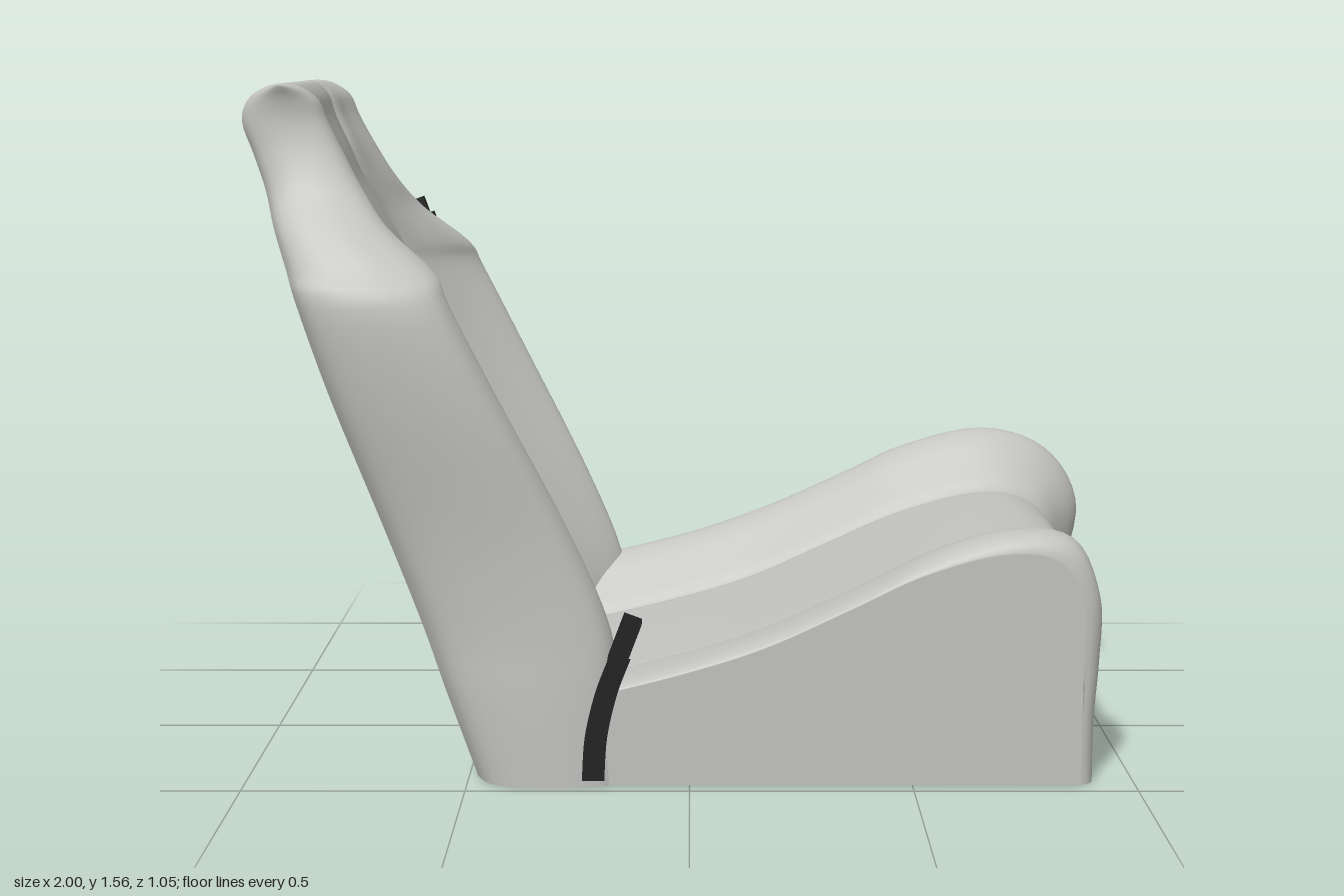
import * as THREE from 'three';

const upholstery = new THREE.MeshStandardMaterial({ color: 0xc2c2c0, side: THREE.DoubleSide });
upholstery.name = 'grey upholstery';
const black = new THREE.MeshStandardMaterial({ color: 0x222222, side: THREE.DoubleSide });
black.name = 'black webbing and plastic';
const silver = new THREE.MeshStandardMaterial({ color: 0xc0c0bc });
silver.name = 'pale metal';

const lerp = THREE.MathUtils.lerp;

// Catmull-Rom interpolation of whole rows of numbers
function smooth(rows, n) {
  const out = [], last = rows.length - 1;
  const at = i => rows[Math.max(0, Math.min(last, i))];
  for (let i = 0; i < last; i++) {
    for (let k = 0; k < n; k++) {
      const t = k / n;
      out.push(rows[i].map((b, j) => {
        const a = at(i - 1)[j], c = at(i + 1)[j], d = at(i + 2)[j];
        return 0.5 * (2 * b + (c - a) * t + (2 * a - 5 * b + 4 * c - d) * t * t
          + (3 * b - a - 3 * c + d) * t * t * t);
      }));
    }
  }
  out.push(rows[last]);
  return out;
}

// Surface through rows of [x, y, z] points
function skin(name, rows, material, flip = false) {
  const w = rows[0].length, index = [];
  for (let i = 0; i < rows.length - 1; i++) {
    for (let j = 0; j < w - 1; j++) {
      const a = i * w + j, b = a + 1, c = a + w, d = c + 1;
      if (flip) index.push(a, c, b, b, c, d);
      else index.push(a, b, c, b, d, c);
    }
  }
  const g = new THREE.BufferGeometry();
  g.setAttribute('position', new THREE.Float32BufferAttribute(rows.flat(2), 3));
  g.setIndex(index);
  g.computeVertexNormals();
  const mesh = new THREE.Mesh(g, material);
  mesh.name = name;
  return mesh;
}

function box(name, size, pos, tilt, material) {
  const mesh = new THREE.Mesh(new THREE.BoxGeometry(...size), material);
  mesh.position.set(...pos);
  mesh.rotation.z = tilt;
  mesh.name = name;
  return mesh;
}

// Flat webbing: path of [x, y, z], widened along x
function strap(name, path, width) {
  return skin(name, smooth(path, 6).map(([x, y, z]) =>
    [[x - width / 2, y, z], [x + width / 2, y, z]]), black);
}

// Cushion profiles, from the rear over the top and down the front
const MIDDLE = [[-.3, .19], [-.05, .25], [.15, .31], [.35, .4], [.52, .475], [.7, .525],
  [.82, .52], [.885, .46], [.9, .3], [.9, .15], [.9, 0]];
const LOW = [[-.2, .22], [0, .275], [.2, .345], [.4, .44], [.55, .52], [.72, .57],
  [.86, .55], [.92, .42], [.92, .28], [.91, .14], [.91, 0]];
const HIGH = [[-.2, .34], [0, .39], [.2, .46], [.4, .55], [.55, .62], [.75, .665],
  [.91, .615], [.995, .48], [.965, .3], [.92, .14], [.91, 0]];

// Stations are [z, blend from middle to crest, scale]
function cushionPart(name, crest, stations, wall) {
  const inner = smooth(MIDDLE, 5), outer = smooth(crest, 5);
  const rows = smooth(stations, 3).map(([z, t, s]) => inner.map(([x, y], i) =>
    [lerp(x, outer[i][0], t) * s, lerp(y, outer[i][1], t) * s, z]));
  if (wall) {
    const edge = rows[rows.length - 1];
    rows.push(edge.map(([x, , z]) => [Math.min(x, .91), 0, z]));
  }
  return skin(name, rows, upholstery, stations[0][0] > stations[1][0]);
}

// Backrest levels: y, back x, panel x, wing x, seam z and outer z (+z side), the same (-z side)
const LEVELS = [
  [0, -.48, -.26, -.155, .28, .482, .26, .475],
  [.2, -.55, -.28, -.165, .28, .478, .26, .475],
  [.35, -.6, -.34, -.18, .28, .472, .26, .475],
  [.57, -.68, -.44, -.27, .29, .48, .265, .48],
  [.87, -.79, -.58, -.42, .31, .515, .28, .495],
  [1.08, -.86, -.67, -.525, .305, .522, .275, .492],
  [1.15, -.885, -.7, -.56, .28, .48, .26, .455],
  [1.24, -.92, -.745, -.665, .24, .41, .225, .39],
  [1.32, -.945, -.785, -.725, .2, .345, .18, .33],
  [1.4, -.975, -.815, -.77, .182, .312, .152, .3],
  [1.47, -1, -.845, -.805, .178, .3, .143, .28],
  [1.52, -.985, -.86, -.825, .183, .305, .135, .267],
  [1.55, -.94, -.885, -.865, .19, .318, .13, .24],
  [1.556, -.905, -.905, -.905, .19, .316, .13, .225],
];

// Depth of the stitched seam, fading out where the top closes
const seam = (xb, xw) => Math.min(.015, .08 * (xw - xb));

// Wing outline at one level: seam, crest, flank, rounded rear corner
function wingSection([y, xb, xc, xw, ...z], side) {
  const [zs, zo] = side > 0 ? z : z.slice(2);
  const w = zo - zs, d = xw - xb, s = seam(xb, xw);
  const pts = smooth([
    [xc - s, zs], [xc + s / 2, zs + .06 * w], [lerp(xc, xw, .5), zs + .35 * w],
    [xw - .02 * d, zs + .58 * w], [xw, zs + .7 * w], [xw - .08 * d, zs + .88 * w],
    [xw - .3 * d, zo - .02 * w], [xw - .5 * d, zo], [xb + .27 * d, zo - .04 * w],
    [xb + .09 * d, zo - .18 * w], [xb, zo - .45 * w]], 3);
  return pts.map(([x, zz]) => [x, y, side * zz]);
}

function backrest() {
  const g = new THREE.Group();
  g.name = 'backrest';
  const levels = smooth(LEVELS, 4);
  for (const side of [1, -1]) {
    g.add(skin(side > 0 ? 'backrestWingNear' : 'backrestWingFar',
      levels.map(l => wingSection(l, side)), upholstery, side > 0));
  }
  // Centre panel with a sunken seam on both sides, ending below the cushion top
  const panel = levels.filter(l => l[0] > .08);
  g.add(skin('backrestPanel', panel.map(([y, xb, xc, xw, zp, , zn]) => {
    const s = seam(xb, xw);
    return [[xc - s, y, -zn], [xc, y, -zn + .012], [xc, y, -zn / 2], [xc, y, 0],
      [xc, y, zp / 2], [xc, y, zp - .012], [xc - s, y, zp]];
  }), upholstery, true));
  // Rear shell
  g.add(skin('backrestShell', levels.map(l => {
    const a = wingSection(l, -1).pop(), b = wingSection(l, 1).pop();
    return [0, .25, .5, .75, 1].map(t => a.map((v, i) => lerp(v, b[i], t)));
  }), upholstery));
  return g;
}

function cushion() {
  const g = new THREE.Group();
  g.name = 'cushion';
  g.add(
    cushionPart('cushionCentre', MIDDLE, [[-.27, 0, .98], [-.255, 0, 1], [-.1, 0, 1.005],
      [.1, 0, 1.005], [.275, 0, 1], [.29, 0, .98]], false),
    cushionPart('lowBolster', LOW, [[.29, 0, .98], [.3, .3, 1], [.33, .75, 1], [.37, .98, 1],
      [.4, 1, 1], [.43, .85, .998], [.45, .6, .985], [.457, .4, .967]], true),
    cushionPart('highBolster', HIGH, [[-.27, 0, .98], [-.283, .13, 1], [-.33, .5, 1], [-.37, .82, 1],
      [-.405, 1, 1], [-.44, .97, 1], [-.465, .77, 1], [-.475, .45, 1]], true));
  return g;
}

function seatBelt() {
  const g = new THREE.Group();
  g.name = 'seatBelt';
  // Shoulder strap on the outer flank
  g.add(strap('shoulderStrap', [[-.68, 1.13, -.485], [-.675, 1.08, -.508], [-.645, 1, -.517],
    [-.565, .75, -.51], [-.485, .5, -.495], [-.41, .2, -.49]], .11));
  g.add(box('beltGuide', [.055, .055, .028], [-.69, 1.225, -.42], .35, black));
  g.add(box('beltGuideArm', [.09, .022, .03], [-.69, 1.195, -.445], .35, black));
  g.add(box('beltGuideTail', [.035, .07, .014], [-.69, 1.15, -.475], .35, black));
  // Lower anchor, lever and latch
  g.add(box('beltAnchor', [.12, .08, .03], [-.4, .21, -.495], -.3, black));
  g.add(box('anchorPlate', [.05, .08, .012], [-.38, .29, -.495], .35, black));
  g.add(box('beltLever', [.38, .025, .014], [-.21, .24, -.505], -.05, black));
  g.add(box('latchStem', [.03, .07, .012], [-.42, .15, -.505], .2, black));
  g.add(box('latchTongue', [.06, .045, .022], [-.425, .115, -.512], .2, silver));
  // Buckle on a short curved stalk
  g.add(strap('buckleStalk', [[-.215, .02, .488], [-.208, .12, .488], [-.185, .22, .488],
    [-.155, .3, .49]], .05));
  g.add(box('buckle', [.042, .105, .055], [-.143, .343, .49], -.36, black));
  return g;
}

export function createModel() {
  const model = new THREE.Group();
  model.name = 'sportsSeat';
  model.add(cushion(), backrest(), seatBelt());
  return model;
}
